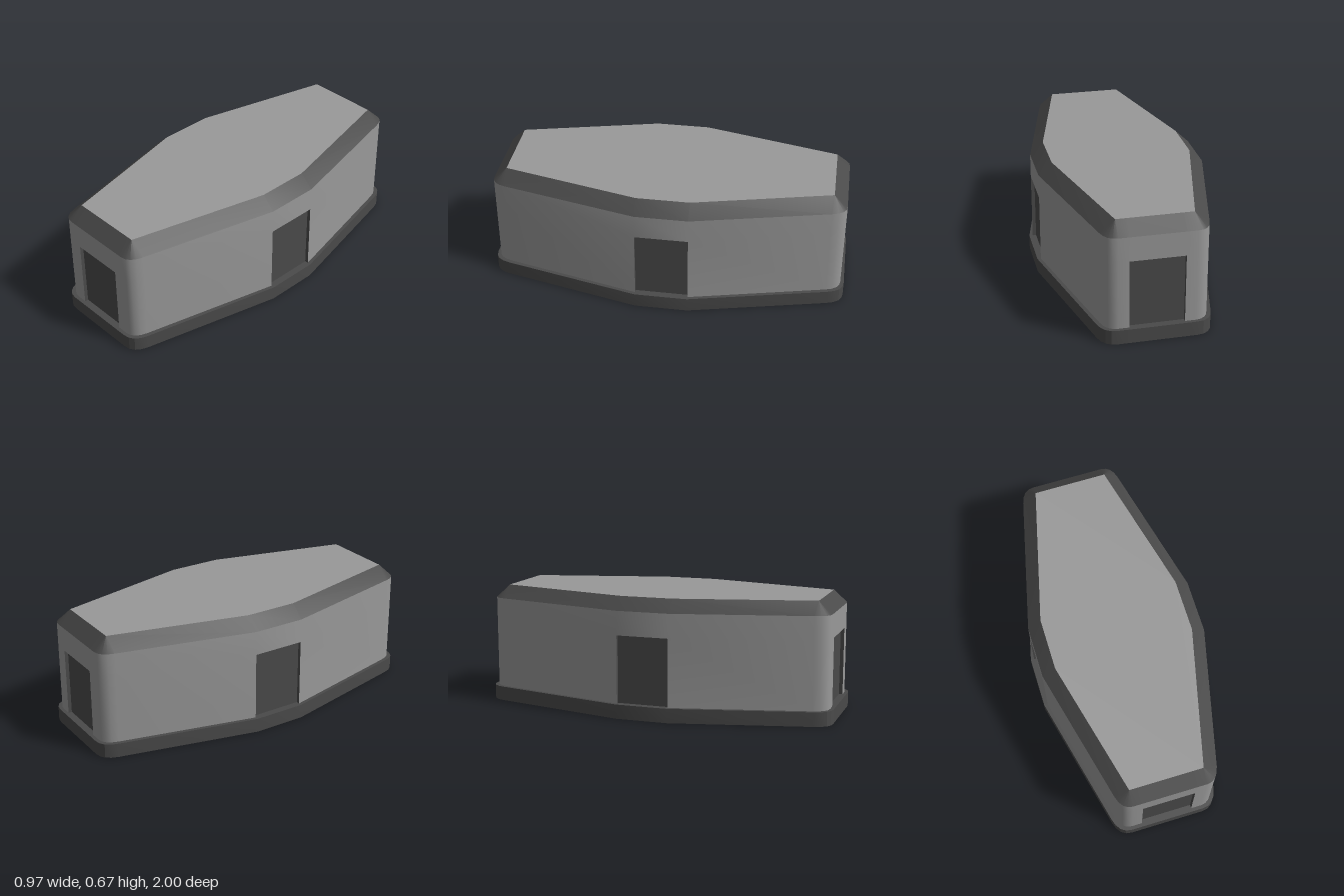
import * as THREE from 'three';
import { toCreasedNormals } from 'three/addons/utils/BufferGeometryUtils.js';

const WALL = new THREE.MeshStandardMaterial({ color: 0x999999, side: THREE.DoubleSide });
const DARK = new THREE.MeshStandardMaterial({ color: 0x4a4a4a, side: THREE.DoubleSide });

const BASE_TOP = 0.08, DOOR_TOP = 0.46, EAVE = 0.595, ROOF = 0.665;
const DOOR_HALF = 0.147, DOOR_DEPTH = 0.02;
const CORNER_STEPS = 4;

// Quarter outline from the side door edge, round the corner, to the end door edge
function quarter(side, corner, control, end) {
  const curve = new THREE.QuadraticBezierCurve(
    new THREE.Vector2(...corner), new THREE.Vector2(...control), new THREE.Vector2(...end));
  return [
    new THREE.Vector2(side, DOOR_HALF),
    ...curve.getPoints(CORNER_STEPS),
    new THREE.Vector2(DOOR_HALF, end[1]),
  ];
}

// Mirror a quarter into the closed outline
function outline(q) {
  const flip = (sx, sz) => q.map((p) => new THREE.Vector2(p.x * sx, p.y * sz));
  return [...q, ...flip(-1, 1).reverse(), ...flip(-1, -1), ...flip(1, -1).reverse()];
}

const at = (loop, y) => loop.map((p) => new THREE.Vector3(p.x, y, p.y));

// Skin between successive loops; skip(band, segment) leaves an opening
function skin(loops, crease, skip = () => false) {
  const pos = [];
  const tri = (a, b, c) => {
    const area = b.clone().sub(a).cross(c.clone().sub(a)).length();
    if (area > 1e-8) for (const v of [a, b, c]) pos.push(v.x, v.y, v.z);
  };
  for (let k = 0; k < loops.length - 1; k++) {
    const lo = loops[k], hi = loops[k + 1], n = lo.length;
    for (let i = 0; i < n; i++) {
      if (skip(k, i)) continue;
      const j = (i + 1) % n;
      tri(lo[i], hi[i], hi[j]);
      tri(lo[i], hi[j], lo[j]);
    }
  }
  const geo = new THREE.BufferGeometry();
  geo.setAttribute('position', new THREE.Float32BufferAttribute(pos, 3));
  return toCreasedNormals(geo, crease);
}

export function createModel() {
  const group = new THREE.Group();
  const add = (name, geo, mat, parent = group) => {
    const mesh = new THREE.Mesh(geo, mat);
    mesh.name = name;
    parent.add(mesh);
    return mesh;
  };

  const baseLoop = outline(quarter(0.485, [0.305, 0.91], [0.285, 1.0], [0.21, 1.0]));
  const wallQuarter = quarter(0.465, [0.285, 0.9], [0.266, 0.98], [0.205, 0.98]);
  const wallLoop = outline(wallQuarter);
  const n = wallQuarter.length;

  // The roof outline has sharp corners, so each rounded corner gathers to a point
  const roofLoop = outline(wallQuarter.map((p, i) =>
    i === 0 ? new THREE.Vector2(0.39, DOOR_HALF)
      : new THREE.Vector2(i === n - 1 ? DOOR_HALF : 0.205, 0.905)));

  // Plinth: outer band and the ledge back to the wall
  add('plinth', skin([at(baseLoop, 0), at(baseLoop, BASE_TOP), at(wallLoop, BASE_TOP)], 0.35), DARK);

  // Walls, with an opening in the middle of every side
  add('walls', skin(
    [at(wallLoop, BASE_TOP), at(wallLoop, DOOR_TOP), at(wallLoop, EAVE)], 0.6,
    (band, i) => band === 0 && i % n === n - 1), WALL);

  // Sloping roof edge and flat roof
  add('roofEdge', skin([at(wallLoop, EAVE), at(roofLoop, ROOF)], 0.35), DARK);
  const roofCorners = roofLoop.filter((p, i) => i % n < 2 || i % n > n - 3);
  const roofShape = new THREE.Shape(
    roofCorners.filter((p) => Math.abs(p.x) > DOOR_HALF + 0.01)
      .filter((p, i, all) => p.distanceTo(all[(i + 1) % all.length]) > 1e-6)
      .map((p) => new THREE.Vector2(p.x, -p.y)));
  add('roofTop', new THREE.ShapeGeometry(roofShape).rotateX(-Math.PI / 2).translate(0, ROOF, 0), WALL);

  // Recessed doors: shallow boxes open to the outside
  const doorHeight = DOOR_TOP - BASE_TOP;
  const doorGeo = new THREE.BoxGeometry(DOOR_HALF * 2, doorHeight, DOOR_DEPTH);
  const faces = Array.from(doorGeo.index.array);
  faces.splice(24, 6);
  doorGeo.setIndex(faces);
  doorGeo.clearGroups();
  ['frontDoor', 'leftDoor', 'backDoor', 'rightDoor'].forEach((name, i) => {
    const pivot = new THREE.Group();
    pivot.rotation.y = i * Math.PI / 2;
    group.add(pivot);
    const door = add(name, doorGeo, DARK, pivot);
    door.position.set(0, BASE_TOP + doorHeight / 2, (i % 2 ? 0.465 : 0.98) - DOOR_DEPTH / 2);
  });

  return group;
}
